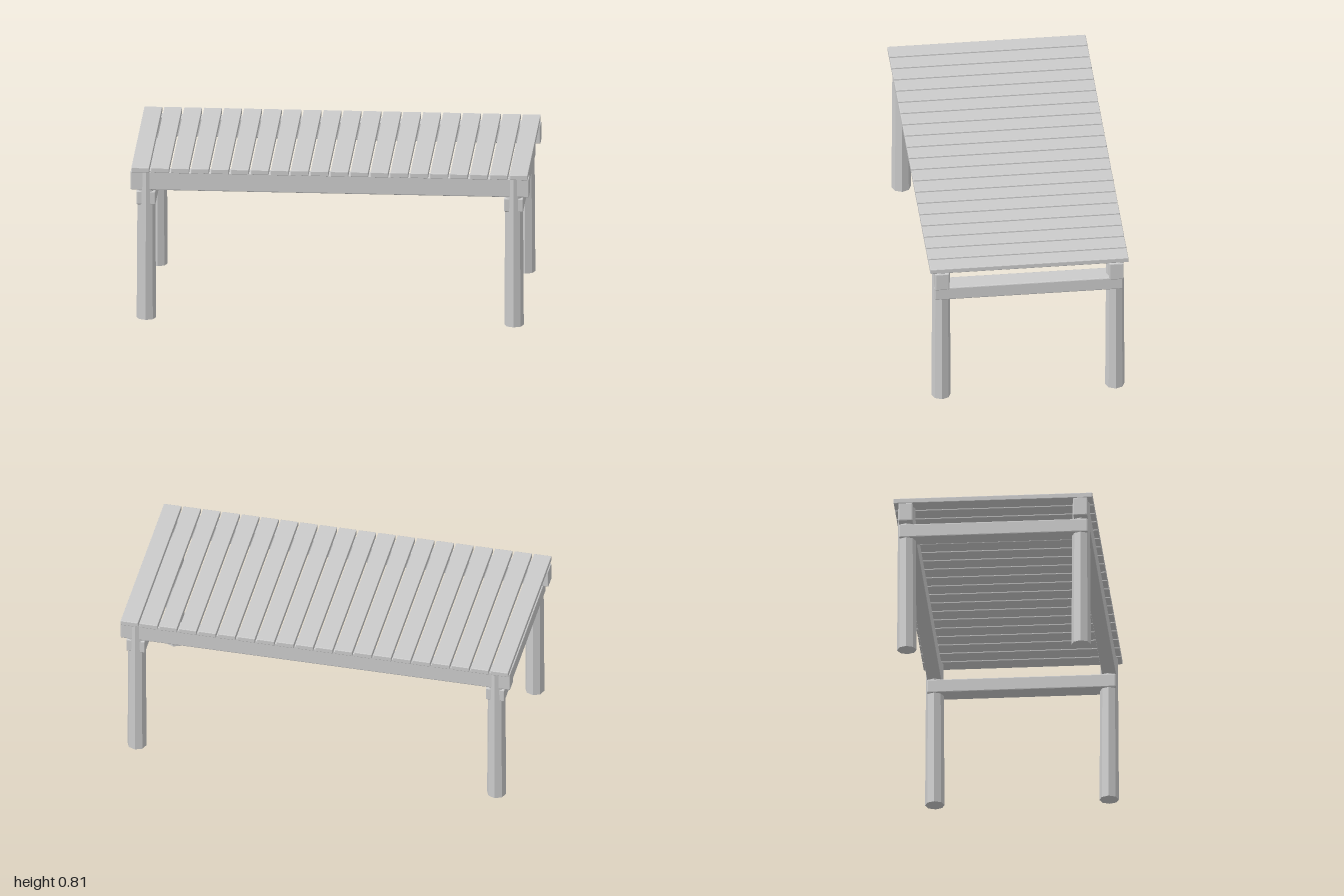
import * as THREE from 'three';
import { RoundedBoxGeometry } from 'three/addons/geometries/RoundedBoxGeometry.js';

const material = new THREE.MeshStandardMaterial({ color: 0xcccccc, flatShading: true });

// Timber board with small chamfered edges
function board(name, w, h, d, x, y, z, chamfer = 0.005) {
  const mesh = new THREE.Mesh(new RoundedBoxGeometry(w, h, d, 1, chamfer), material);
  mesh.name = name;
  mesh.position.set(x, y, z);
  return mesh;
}

export function createModel() {
  const table = new THREE.Group();
  table.name = 'slattedTable';

  // Table top: evenly spaced slats running front to back
  const top = new THREE.Group();
  top.name = 'tableTop';
  const count = 20, pitch = 0.1;
  for (let i = 0; i < count; i++) {
    const x = (i - (count - 1) / 2) * pitch;
    top.add(board('slat', 0.09, 0.026, 0.998, x, 0.792, 0, 0.003));
  }
  table.add(top);

  // Long beams under the slats
  for (const side of [1, -1]) {
    table.add(board(side > 0 ? 'frontBeam' : 'backBeam', 2, 0.097, 0.072, 0, 0.729, side * 0.439));
  }

  // Cross rails under the beams, joining each pair of legs
  for (const side of [1, -1]) {
    table.add(board(side > 0 ? 'leftCrossRail' : 'rightCrossRail', 0.096, 0.071, 0.948, side * 0.923, 0.638, 0));
  }

  // Tapered octagonal legs reaching up to the slats
  const legGeometry = new THREE.CylinderGeometry(0.044, 0.049, 0.78, 8);
  for (const sx of [1, -1]) {
    for (const sz of [1, -1]) {
      const leg = new THREE.Mesh(legGeometry, material);
      leg.name = (sz > 0 ? 'front' : 'back') + (sx > 0 ? 'Left' : 'Right') + 'Leg';
      leg.position.set(sx * 0.923, 0.39, sz * 0.438);
      table.add(leg);
    }
  }

  return table;
}
